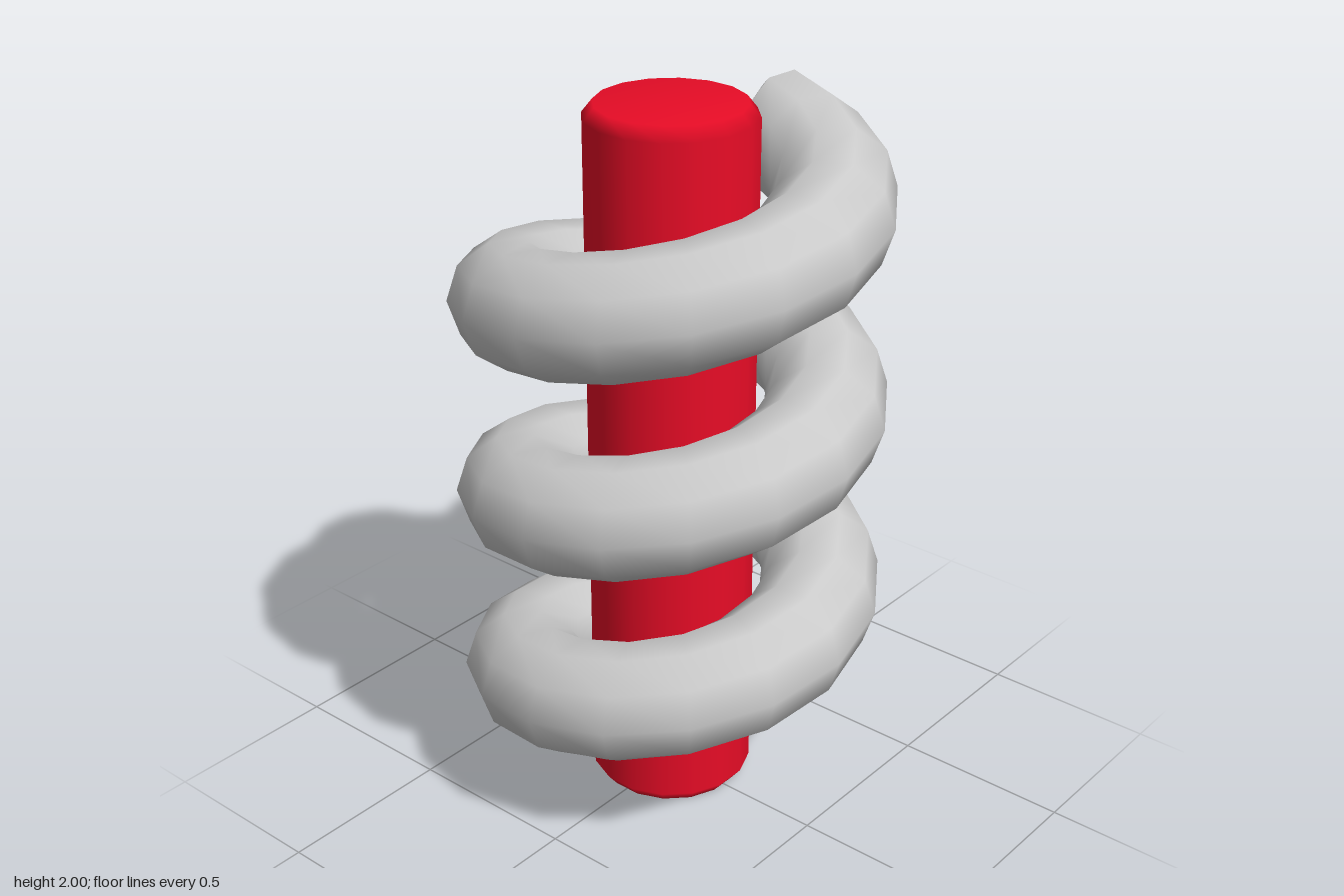
import * as THREE from 'three';

const TURNS = 3, STEPS = 16, SIDES = 10;
const COIL_R = 0.42, WIRE_R = 0.165, BASE = 0.158, PITCH = 0.557;

// Coil swept as rings set in radial planes, closed by bevelled ends
function coilGeometry() {
  const total = TURNS * STEPS;
  const bevel = 0.17; // in steps
  const stations = [[0, 0], [0, 0.135], [bevel, WIRE_R]]; // [step, wire radius]
  for (let i = 1; i < total; i++) stations.push([i, WIRE_R]);
  stations.push([total - bevel, WIRE_R], [total, 0.135], [total, 0]);

  const positions = [], index = [];
  stations.forEach(([step, radius], i) => {
    const turn = step / STEPS, a = turn * Math.PI * 2;
    for (let j = 0; j < SIDES; j++) {
      const phi = (j / SIDES) * Math.PI * 2;
      const r = COIL_R + radius * Math.cos(phi);
      positions.push(-r * Math.sin(a), BASE + PITCH * turn + radius * Math.sin(phi), -r * Math.cos(a));
      if (i === stations.length - 1) continue;
      const k = (j + 1) % SIDES;
      const p = i * SIDES + j, q = i * SIDES + k;
      index.push(p, p + SIDES, q, q, p + SIDES, q + SIDES);
    }
  });
  const geometry = new THREE.BufferGeometry();
  geometry.setAttribute('position', new THREE.Float32BufferAttribute(positions, 3));
  geometry.setIndex(index);
  geometry.computeVertexNormals();
  return geometry;
}

// Sixteen-sided rod with small bevels at both ends
function rodGeometry() {
  const profile = [[0, 0], [0.2, 0], [0.228, 0.035], [0.228, 1.965], [0.2, 2], [0, 2]];
  const geometry = new THREE.LatheGeometry(profile.map(([x, y]) => new THREE.Vector2(x, y)), 16, Math.PI / 16);
  return geometry;
}

export function createModel() {
  const group = new THREE.Group();
  const add = (name, geometry, color) => {
    const mesh = new THREE.Mesh(geometry, new THREE.MeshStandardMaterial({ color }));
    mesh.name = name;
    group.add(mesh);
  };
  add('coilSpring', coilGeometry(), 0xcccccc);
  add('centreRod', rodGeometry(), 0xe80c26);
  return group;
}
